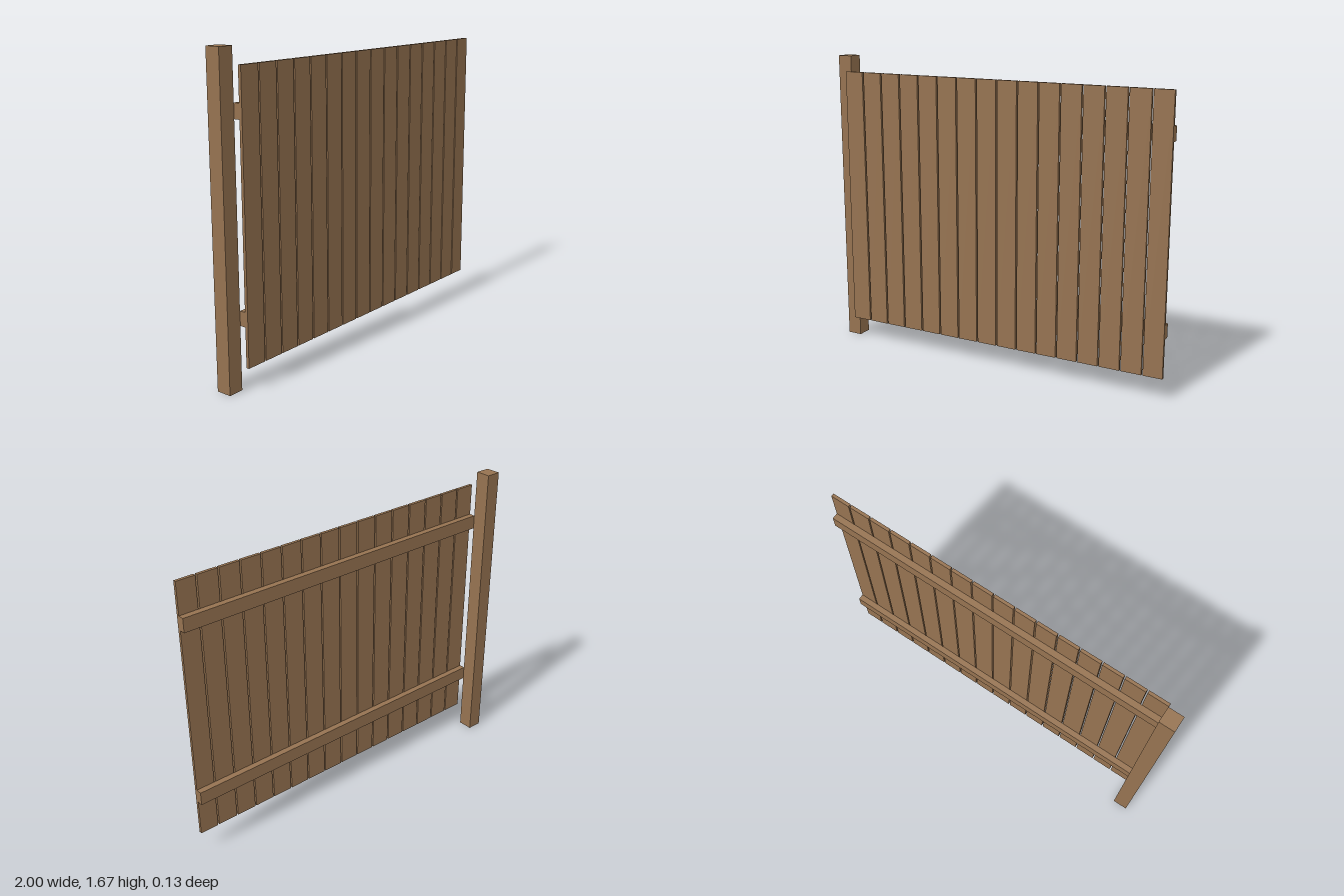
import * as THREE from 'three';

export function createModel() {
  const fence = new THREE.Group();
  fence.name = 'fencePanel';

  const wood = new THREE.MeshStandardMaterial({ color: 0x967351 });
  wood.name = 'brown wood';

  // Box given by its minimum and maximum corners
  function board(name, [x0, y0, z0], [x1, y1, z1]) {
    const mesh = new THREE.Mesh(new THREE.BoxGeometry(x1 - x0, y1 - y0, z1 - z0), wood);
    mesh.position.set((x0 + x1) / 2, (y0 + y1) / 2, (z0 + z1) / 2);
    mesh.name = name;
    fence.add(mesh);
  }

  const left = -0.9167, right = 1;
  const railBack = 0.0167, railFront = 0.05, plankFront = 0.0667;

  // Square end post
  board('post', [-1, 0, -0.0667], [left, 1.6667, railBack]);

  // Two horizontal rails
  for (const y of [0.3333, 1.3333]) {
    board('rail', [left, y, railBack], [right, y + 0.076, railFront]);
  }

  // Vertical planks with narrow gaps; the last is trimmed to the panel edge
  const width = 0.1125, pitch = 0.1208;
  for (let i = 0; i < 16; i++) {
    const x = left + i * pitch;
    board('plank', [x, 0.125, railFront], [Math.min(x + width, right), 1.5833, plankFront]);
  }

  return fence;
}
